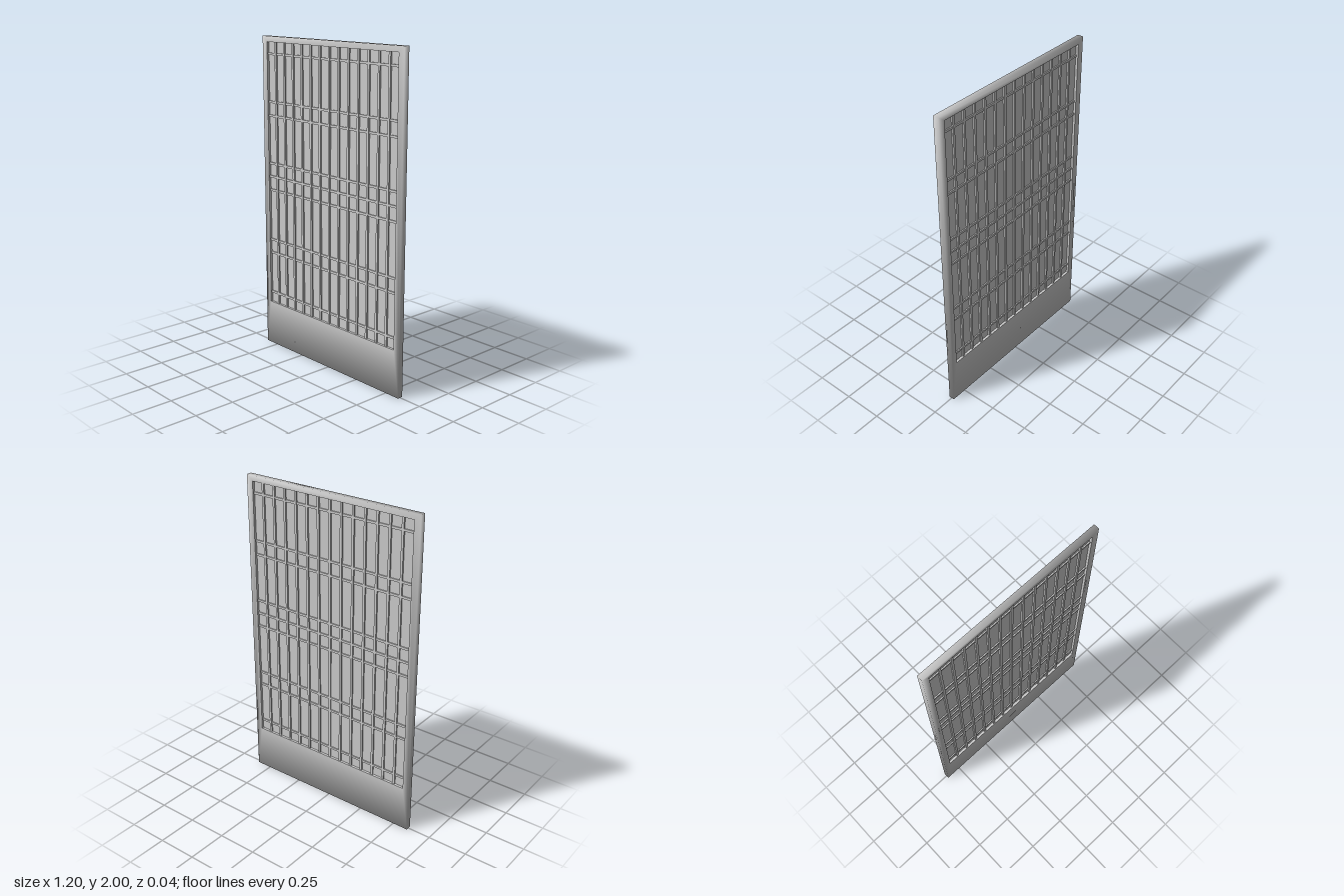
import * as THREE from 'three';

const W = 0.6, H = 2, D = 0.0175;                       // outer half width, height, half depth
const IN = { x: 0.558, y0: 0.285, y1: 1.965 };          // lattice opening

const material = new THREE.MeshStandardMaterial({ color: 0xcccccc });

function rectangle(path, x, y0, y1) {
  path.moveTo(-x, y0);
  path.lineTo(x, y0);
  path.lineTo(x, y1);
  path.lineTo(-x, y1);
  path.closePath();
  return path;
}

function box(name, w, h, d, x, y) {
  const mesh = new THREE.Mesh(new THREE.BoxGeometry(w, h, d), material);
  mesh.name = name;
  mesh.position.set(x, y, 0);
  return mesh;
}

// Surround with a tall solid skirt; its outer corners have soft, averaged normals
function createFrame() {
  const shape = rectangle(new THREE.Shape(), W, 0, H);
  shape.holes.push(rectangle(new THREE.Path(), IN.x, IN.y0, IN.y1));
  const geometry = new THREE.ExtrudeGeometry(shape, { depth: 2 * D, bevelEnabled: false });
  geometry.translate(0, 0, -D);
  const p = geometry.attributes.position;
  const n = geometry.attributes.normal;
  const v = new THREE.Vector3();
  for (let i = 0; i < p.count; i++) {
    if (Math.abs(p.getX(i)) < W - 0.001) continue;
    v.set(Math.sign(p.getX(i)), p.getY(i) > 1 ? 1 : -1, Math.sign(p.getZ(i))).normalize();
    n.setXYZ(i, v.x, v.y, v.z);
  }
  const frame = new THREE.Mesh(geometry, material);
  frame.name = 'frame';
  return frame;
}

export function createModel() {
  const model = new THREE.Group();
  model.name = 'slidingScreen';
  model.add(createFrame());

  // Thin paper sheet in the middle of the frame
  const height = IN.y1 - IN.y0, midY = (IN.y0 + IN.y1) / 2;
  model.add(box('paper', 2 * IN.x, height, 0.004, 0, midY));

  // Lattice standing proud of both faces of the paper
  const lattice = new THREE.Group();
  lattice.name = 'lattice';
  for (let k = -6; k <= 6; k++) {
    lattice.add(box('verticalBar', 0.015, height, 0.023, k * 0.081, midY));
  }
  for (const y of [1.892, 1.597, 1.51, 1.207, 1.122, 1.035, 0.707, 0.62, 0.352]) {
    lattice.add(box('horizontalBar', 2 * IN.x, 0.014, 0.018, 0, y));
  }
  model.add(lattice);
  return model;
}
